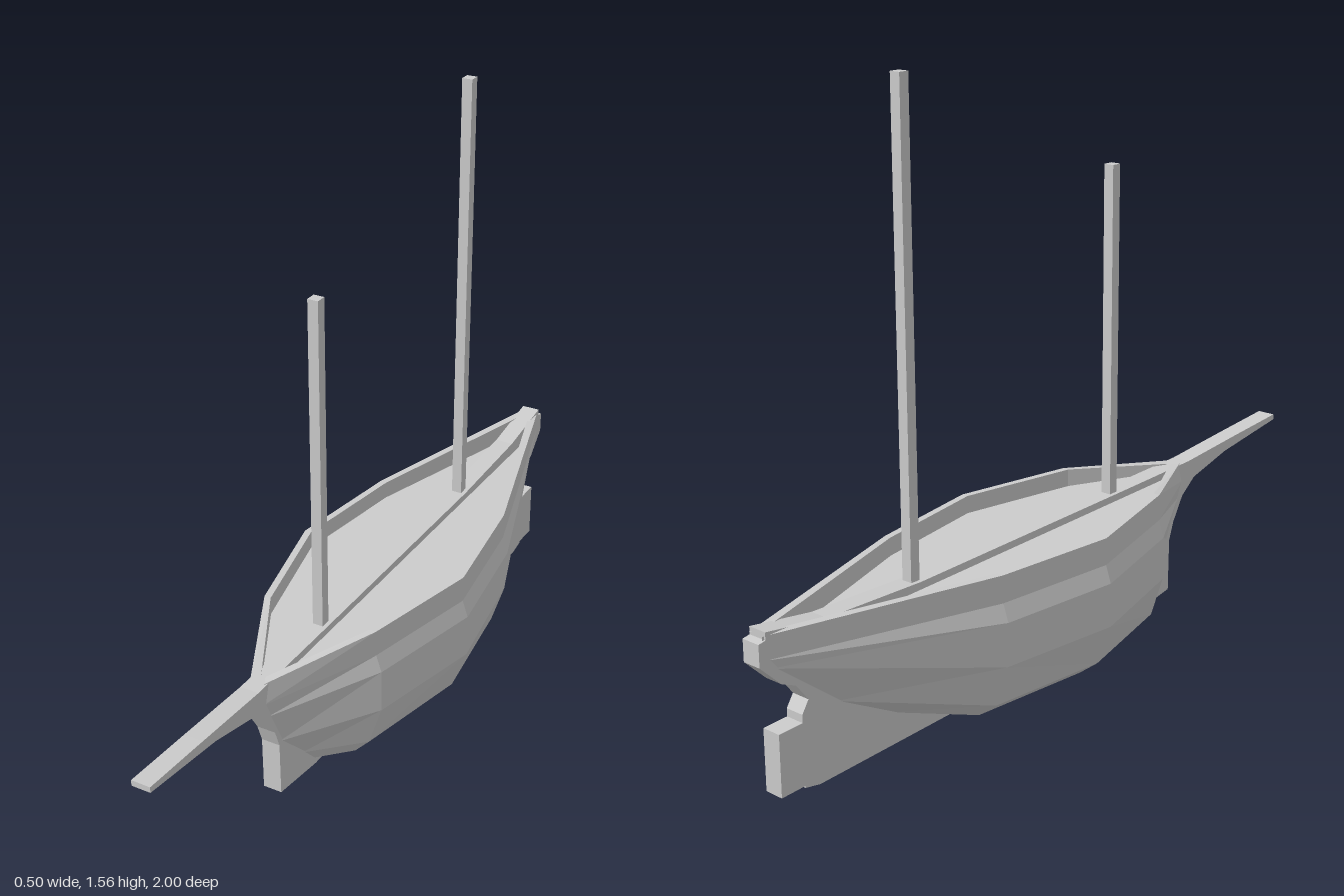
import * as THREE from 'three';

const material = new THREE.MeshStandardMaterial({ color: 0xcccccc, flatShading: true });

// Stations from bow to stern; each lists [x, y, z] from gunwale down to keel.
function midStation(z, widths) {
  const heights = [0.405, 0.335, 0.29, 0.175, 0.065, 0.022, 0.01];
  return widths.map((x, i) => [x, heights[i], z]);
}
const STATIONS = [
  [[0.02, 0.38, 0.535], [0.02, 0.325, 0.55], [0.02, 0.28, 0.53], [0.02, 0.175, 0.48],
    [0.02, 0.07, 0.375], [0.02, 0.022, 0.33], [0, 0.01, 0.32]],
  midStation(0.25, [0.16, 0.16, 0.175, 0.175, 0.14, 0.1, 0]),
  midStation(-0.07, [0.235, 0.235, 0.25, 0.25, 0.21, 0.155, 0]),
  midStation(-0.4, [0.19, 0.19, 0.205, 0.2, 0.165, 0.11, 0]),
  [[0.02, 0.412, -0.985], [0.02, 0.355, -0.985], [0.02, 0.33, -0.965], [0.02, 0.18, -0.78],
    [0.02, 0.08, -0.6], [0.02, 0.03, -0.43], [0, 0.012, -0.4]],
];
const DECK_Y = 0.358;

// Add deck centre, deck edge and inner rim in front of the outer profile.
function fullSection(outer, j) {
  const [x, y, z] = outer[0];
  const shift = j === 0 ? -0.025 : j === STATIONS.length - 1 ? 0.03 : 0;
  const inner = Math.max(x - 0.018, 0.006);
  return [[0, DECK_Y, z + shift], [inner, DECK_Y, z + shift], [inner, y, z + shift], ...outer];
}

function hullSide(side) {
  const sections = STATIONS.map(fullSection);
  const rows = sections[0].length;
  const positions = [], index = [];
  sections.forEach((s) => s.forEach(([x, y, z]) => positions.push(x * side, y, z)));
  for (let j = 0; j < sections.length - 1; j++) {
    for (let i = 0; i < rows - 1; i++) {
      const a = j * rows + i, b = a + 1, c = a + rows, d = c + 1;
      if (side > 0) index.push(a, b, c, b, d, c);
      else index.push(a, c, b, b, c, d);
    }
  }
  const geometry = new THREE.BufferGeometry();
  geometry.setAttribute('position', new THREE.Float32BufferAttribute(positions, 3));
  geometry.setIndex(index);
  const flat = geometry.toNonIndexed();
  flat.computeVertexNormals();
  return flat;
}

// Upright plate from a [z, y] outline, centred on x = 0.
function plate(outline, thickness) {
  const shape = new THREE.Shape(outline.map(([z, y]) => new THREE.Vector2(z, y)));
  const geometry = new THREE.ExtrudeGeometry(shape, { depth: thickness, bevelEnabled: false });
  geometry.translate(0, 0, -thickness / 2);
  geometry.rotateY(-Math.PI / 2);
  return geometry;
}

function box(w, y0, y1, d, z) {
  return new THREE.BoxGeometry(w, y1 - y0, d).translate(0, (y0 + y1) / 2, z);
}

export function createModel() {
  const group = new THREE.Group();
  const add = (name, geometry) => {
    const mesh = new THREE.Mesh(geometry, material);
    mesh.name = name;
    group.add(mesh);
  };

  // Planked hull with sunken deck
  add('hullLeft', hullSide(1));
  add('hullRight', hullSide(-1));

  // Bowsprit, stem, keel and sternpost in one continuous backbone
  add('keelAndBowsprit', plate([
    [1, 0.405], [0.8, 0.393], [0.57, 0.378], [0.25, 0.377], [-0.5, 0.377], [-0.8, 0.392],
    [-0.98, 0.422], [-0.98, 0.403], [-1, 0.4], [-1, 0.345], [-0.94, 0.285], [-0.9, 0.267],
    [-0.865, 0.22], [-0.885, 0.19], [-0.885, 0.165], [-0.87, 0.155], [-0.87, 0.045],
    [-0.885, 0.035], [-0.885, 0.01], [-0.84, 0], [0.32, 0.002], [0.485, 0.025],
    [0.487, 0.17], [0.505, 0.22], [0.545, 0.285], [0.6, 0.325], [0.75, 0.36], [1, 0.39],
  ], 0.05));

  add('rudder', box(0.05, 0.015, 0.17, 0.085, -0.9125));

  // Square masts
  add('foreMast', box(0.028, 0.34, 1.25, 0.028, 0.245));
  add('mainMast', box(0.028, 0.34, 1.557, 0.028, -0.508));

  return group;
}
